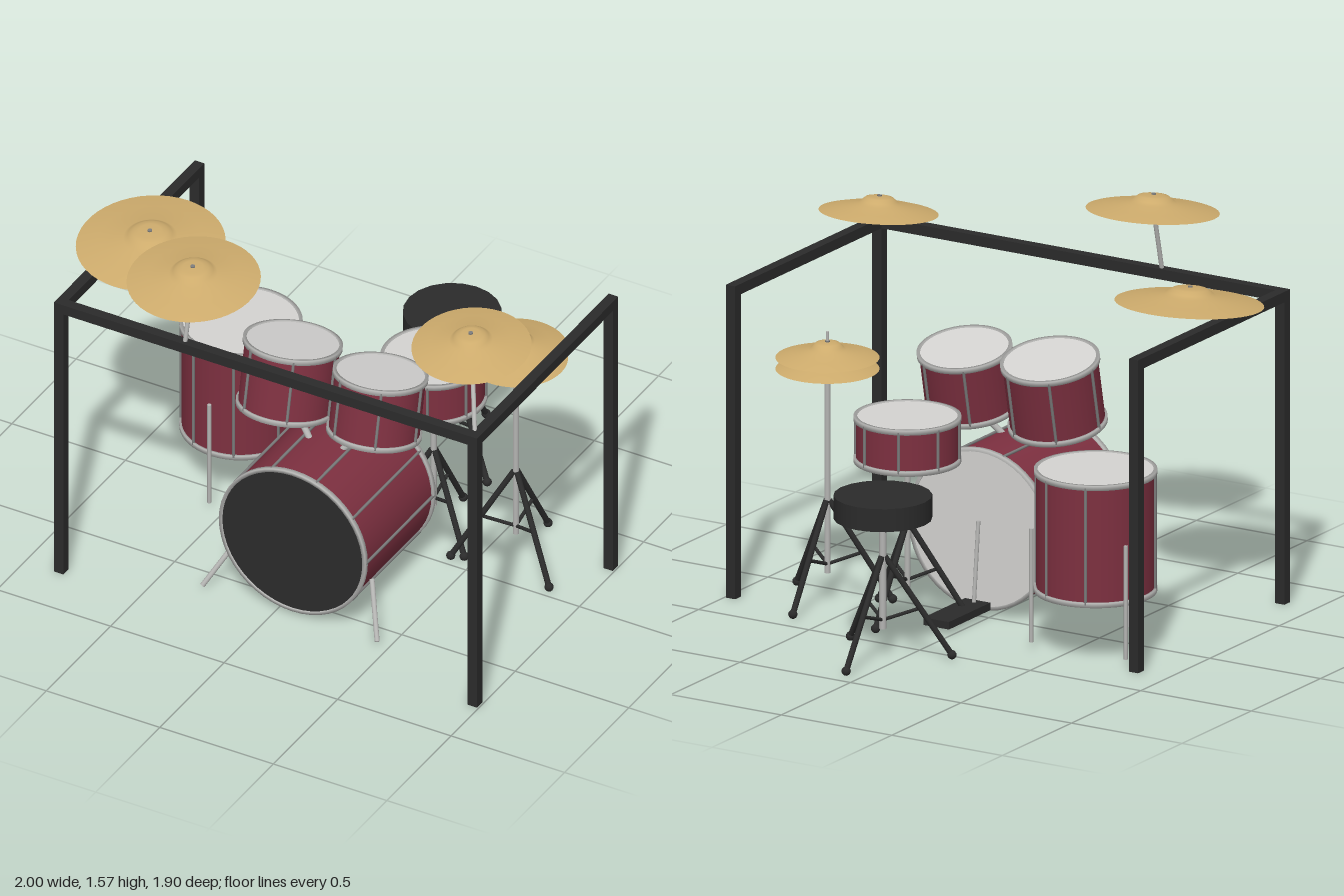
import * as THREE from 'three';

const mat = (name, color, side = THREE.FrontSide) => {
  const m = new THREE.MeshStandardMaterial({ color, side });
  m.name = name;
  return m;
};

export function createModel() {
  const maroon = mat('maroon shell', 0x7d3040);
  const black = mat('black', 0x2b2b2b);
  const chrome = mat('chrome', 0xb4b4b2);
  const lugGrey = mat('lug grey', 0x7c7c7c);
  const skin = mat('drum skin', 0xd4d3d1);
  const brass = mat('brass', 0xcdab6c, THREE.DoubleSide);
  const kit = new THREE.Group();
  kit.name = 'drumKit';

  const add = (parent, name, geo, material, x = 0, y = 0, z = 0) => {
    const m = new THREE.Mesh(geo, material);
    m.name = name;
    m.position.set(x, y, z);
    parent.add(m);
    return m;
  };
  const group = (name, x, y, z) => {
    const g = new THREE.Group();
    g.name = name;
    g.position.set(x, y, z);
    kit.add(g);
    return g;
  };
  // Round bar between two points
  const rod = (parent, name, a, b, r, material) => {
    const p = new THREE.Vector3(...a), q = new THREE.Vector3(...b);
    const m = add(parent, name, new THREE.CylinderGeometry(r, r, p.distanceTo(q), 12), material);
    m.position.copy(p).lerp(q, 0.5);
    m.quaternion.setFromUnitVectors(new THREE.Vector3(0, 1, 0), q.sub(p).normalize());
    return m;
  };

  // Drum along local y: shell, two hoops, two skins and tension rods
  const drum = (name, pos, r, h, lugs, lugStart, tilt = 0, topSkin = skin) => {
    const g = group(name, ...pos);
    g.rotation.x = tilt;
    add(g, 'shell', new THREE.CylinderGeometry(r - 0.009, r - 0.009, h - 0.012, 48, 1, true), maroon);
    const hoop = new THREE.LatheGeometry([
      [r - 0.014, -0.01], [r, -0.01], [r, 0.01], [r - 0.014, 0.01], [r - 0.014, -0.01],
    ].map(([x, y]) => new THREE.Vector2(x, y)), 48);
    for (const s of [-1, 1]) {
      add(g, 'hoop', hoop, chrome, 0, s * (h / 2 - 0.01), 0);
      const head = add(g, 'skin', new THREE.CircleGeometry(r - 0.01, 48), s > 0 ? topSkin : skin, 0, s * (h / 2 - 0.004), 0);
      head.rotation.x = -s * Math.PI / 2;
    }
    for (let i = 0; i < lugs; i++) {
      const a = lugStart + i * 2 * Math.PI / lugs;
      add(g, 'tensionRod', new THREE.CylinderGeometry(0.006, 0.006, h - 0.02, 8), lugGrey,
        Math.cos(a) * (r - 0.005), 0, Math.sin(a) * (r - 0.005));
    }
    return g;
  };

  drum('bassDrum', [0.065, 0.335, 0.31], 0.323, 0.55, 10, 0, Math.PI / 2, black);
  drum('rackTomRight', [-0.13, 0.86, 0.262], 0.193, 0.282, 6, 0, -0.21);
  drum('rackTomLeft', [0.257, 0.855, 0.26], 0.185, 0.26, 6, 0, -0.21);
  drum('floorTom', [-0.563, 0.48, -0.128], 0.237, 0.49, 8, Math.PI / 8);
  drum('snareDrum', [0.262, 0.722, -0.17], 0.207, 0.185, 8, Math.PI / 8);

  // Bass drum spurs and tom mounts
  for (const s of [-1, 1]) {
    rod(kit, 'bassSpur', [0.065 + s * 0.29, 0.195, 0.475], [0.065 + s * 0.385, 0.012, 0.603], 0.01, chrome);
    rod(kit, 'tomMount', [0.065 + s * 0.07, 0.63, 0.32], [0.065 + s * 0.18, 0.75, 0.272], 0.013, chrome);
  }

  // Floor tom legs
  for (let i = 0; i < 3; i++) {
    const a = Math.PI / 2 + i * 2 * Math.PI / 3;
    const x = -0.563 + Math.cos(a) * 0.247, z = -0.128 + Math.sin(a) * 0.247;
    rod(kit, 'floorTomLeg', [x, 0.025, z], [x, 0.48, z], 0.008, chrome);
  }

  // Bass pedal with beater shaft
  add(kit, 'pedal', new THREE.BoxGeometry(0.115, 0.03, 0.3), black, 0.065, 0.038, -0.127);
  rod(kit, 'beater', [0.065, 0.04, -0.005], [0.065, 0.37, 0.028], 0.008, chrome);

  // Tripod stand, one leg pointing backwards
  const stand = (name, x, z, top, hub, reach, poleR) => {
    const g = group(name, x, 0, z);
    rod(g, 'pole', [0, 0.12, 0], [0, top, 0], poleR, chrome);
    for (let i = 0; i < 3; i++) {
      const a = -Math.PI / 2 + i * 2 * Math.PI / 3, c = Math.cos(a), s = Math.sin(a);
      const at = (r, y) => [c * r, y, s * r];
      rod(g, 'leg', at(0.008, hub), at(reach, 0.018), 0.0115, black);
      rod(g, 'brace', at(0, 0.155), at(reach * 0.5, 0.2), 0.007, black);
      add(g, 'foot', new THREE.SphereGeometry(0.018, 12, 8), black, c * reach, 0.018, s * reach);
    }
    return g;
  };
  stand('snareStand', 0.262, -0.17, 0.635, 0.38, 0.23, 0.012);
  const hat = stand('hiHatStand', 0.63, -0.16, 0.97, 0.41, 0.25, 0.012);
  rod(hat, 'hatRod', [0, 0.95, 0], [0, 1.087, 0], 0.006, chrome);

  // Stool
  const stool = stand('stool', 0.062, -0.667, 0.57, 0.41, 0.265, 0.014);
  add(stool, 'seat', new THREE.CylinderGeometry(0.19, 0.19, 0.092, 20), black, 0, 0.61, 0);

  // Cymbals: shallow bow with a raised bell
  const cymbal = (name, x, y, z, r, tilt) => {
    const g = group(name, x, y, z);
    g.rotation.x = tilt;
    const pts = [[1, 0], [0.7, 0.018], [0.36, 0.033], [0.3, 0.045], [0.23, 0.058], [0.15, 0.062], [0, 0.063]];
    add(g, 'bow', new THREE.LatheGeometry(pts.map(([a, b]) => new THREE.Vector2(a * r, b)), 48), brass);
    add(g, 'nut', new THREE.CylinderGeometry(0.009, 0.009, 0.008, 12), lugGrey, 0, 0.064, 0);
  };
  cymbal('rideCymbal', -0.713, 1.297, 0.31, 0.288, 0.1);
  cymbal('crashCymbal', -0.305, 1.502, 0.697, 0.258, 0.1);
  cymbal('smallCrashCymbal', 0.765, 1.392, 0.425, 0.231, 0.1);
  cymbal('hiHatTop', 0.63, 0.983, -0.16, 0.2, 0);
  cymbal('hiHatBottom', 0.63, 0.938, -0.16, 0.2, 0);
  rod(kit, 'rideArm', [-0.85, 1.235, 0.31], [-0.713, 1.33, 0.313], 0.009, chrome);
  rod(kit, 'crashArm', [-0.305, 1.235, 0.767], [-0.305, 1.53, 0.697], 0.009, chrome);
  rod(kit, 'smallCrashArm', [0.973, 1.235, 0.765], [0.765, 1.41, 0.425], 0.009, chrome);

  // Square-tube rack: four posts, front bar, two side bars
  const t = 0.042, xs = [-0.85, 0.973], zs = [0.765, -0.292];
  for (const x of xs) {
    for (const z of zs) add(kit, 'rackPost', new THREE.BoxGeometry(t, 1.235, t), black, x, 0.6175, z);
    add(kit, 'rackSideBar', new THREE.BoxGeometry(t, t, zs[0] - zs[1] + t), black, x, 1.234, (zs[0] + zs[1]) / 2);
  }
  add(kit, 'rackFrontBar', new THREE.BoxGeometry(xs[1] - xs[0] + t, t, t), black, (xs[0] + xs[1]) / 2, 1.234, zs[0]);

  return kit;
}
